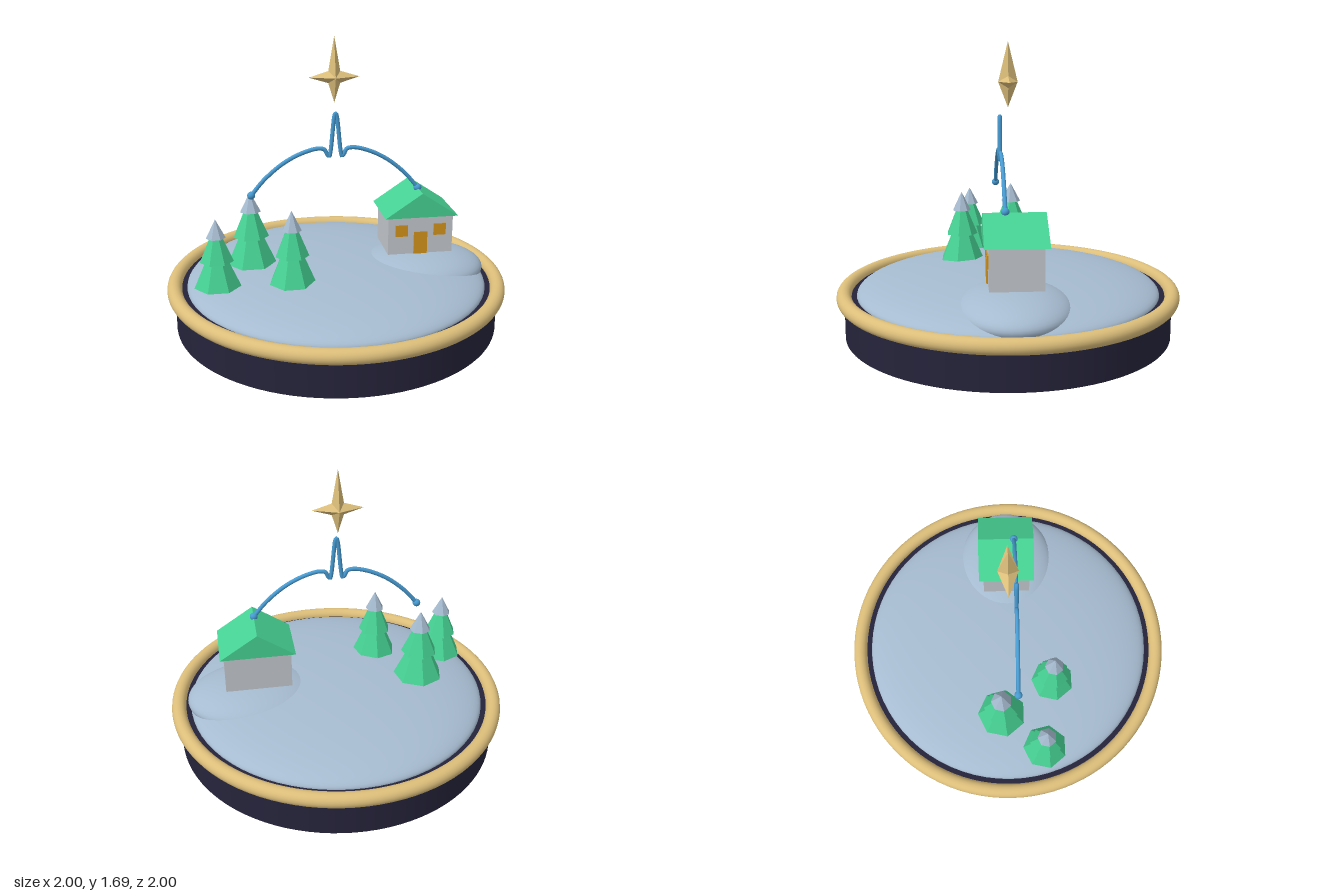
import * as THREE from 'three';

const mat = (name, color, side = THREE.FrontSide) =>
  new THREE.MeshStandardMaterial({ name, color, side });

// Gives every face its own normal
function flat(geometry) {
  const g = geometry.index ? geometry.toNonIndexed() : geometry;
  g.computeVertexNormals();
  return g;
}

export function createModel() {
  const navy = mat('navy', 0x25233a);
  const gold = mat('gold', 0xdcbe7a);
  const snow = mat('snow', 0xa6bbd0);
  const green = mat('green', 0x46d193);
  const wall = mat('wall', 0xc3c8ce);
  const amber = mat('amber', 0xd3931c);
  const blue = mat('blue', 0x479bd2);

  const model = new THREE.Group();
  model.name = 'winterScene';
  const add = (name, geometry, material, x = 0, y = 0, z = 0, parent = model) => {
    const mesh = new THREE.Mesh(geometry, material);
    mesh.name = name;
    mesh.position.set(x, y, z);
    parent.add(mesh);
    return mesh;
  };

  // Round base with a rolled rim
  add('base', new THREE.CylinderGeometry(0.955, 0.955, 0.24, 96), navy, 0, 0.12, 0);
  add('rim', new THREE.TorusGeometry(0.957, 0.043, 20, 96).rotateX(Math.PI / 2), gold, 0, 0.238, 0);

  // Snow ground and the mound under the house
  add('snowGround', new THREE.SphereGeometry(1, 72, 20, 0, Math.PI * 2, 0, Math.PI / 2)
    .scale(0.885, 0.13, 0.885), snow, 0, 0.24, 0);
  add('snowMound', new THREE.SphereGeometry(1, 48, 28).scale(0.4, 0.12, 0.32), snow, 0.5, 0.28, 0);

  // House
  const house = new THREE.Group();
  house.name = 'house';
  house.position.set(0.478, 0.42, -0.002);
  model.add(house);
  add('walls', new THREE.BoxGeometry(0.386, 0.23, 0.288), wall, 0, 0.115, 0, house);
  const gable = new THREE.Shape([
    new THREE.Vector2(-0.217, 0), new THREE.Vector2(0.217, 0), new THREE.Vector2(0, 0.145),
  ]);
  add('roof', new THREE.ExtrudeGeometry(gable, { depth: 0.34, bevelEnabled: false }),
    green, 0, 0.23, -0.17, house);
  add('door', new THREE.BoxGeometry(0.08, 0.136, 0.009), amber, 0, 0.068, 0.147, house);
  for (const s of [-1, 1]) {
    add('window', new THREE.BoxGeometry(0.073, 0.07, 0.009), amber, s * 0.114, 0.146, 0.147, house);
  }

  // Seven-sided trees: two green tiers and a snowy tip
  const tiers = [ // bottom, height, radius (fractions of the tree), material
    [0, 0.74, 1, green],
    [0.38, 0.56, 0.72, green],
    [0.73, 0.27, 0.42, snow],
  ];
  const trees = [ // x, z, ground y, height, radius
    [-0.5, -0.05, 0.355, 0.432, 0.148],
    [-0.708, 0.21, 0.332, 0.392, 0.134],
    [-0.292, 0.268, 0.35, 0.42, 0.134],
  ];
  for (const [x, z, y, height, radius] of trees) {
    const tree = new THREE.Group();
    tree.name = 'tree';
    tree.position.set(x, y, z);
    tree.rotation.y = Math.PI;
    model.add(tree);
    for (const [bottom, h, r, material] of tiers) {
      add(material === snow ? 'snowyTip' : 'treeTier',
        flat(new THREE.ConeGeometry(r * radius, h * height, 7)), material,
        0, (bottom + h / 2) * height, 0, tree);
    }
  }

  // Arched line with a sharp pulse in the middle, mirrored about its centre
  const cx = -0.01, wireZ = 0.047;
  const half = [
    [-0.487, 0.797], [-0.41, 0.888], [-0.3, 0.979], [-0.19, 1.035], [-0.1, 1.057],
    [-0.065, 1.05], [-0.048, 1.02], [-0.037, 1.008], [-0.029, 1.04], [-0.006, 1.245],
  ];
  const points = [...half, [0, 1.258], ...half.map(([x, y]) => [-x, y]).reverse()]
    .map(([x, y]) => new THREE.Vector3(cx + x, y, wireZ));
  add('archWire', new THREE.TubeGeometry(new THREE.CatmullRomCurve3(points), 240, 0.012, 10), blue);
  for (const s of [-1, 1]) {
    add('wireEnd', new THREE.SphereGeometry(0.023, 20, 14), blue, cx + s * 0.487, 0.797, wireZ);
  }

  // Four-pointed faceted star
  const d = 0.034, depth = 0.056;
  const outline = [
    [0, 0.23], [-d, d], [-0.145, 0], [-d, -d], [0, -0.145], [d, -d], [0.145, 0], [d, d],
  ];
  const corners = [];
  outline.forEach((a, i) => {
    const b = outline[(i + 1) % outline.length];
    corners.push(0, 0, depth, ...a, 0, ...b, 0);
    corners.push(0, 0, -depth, ...b, 0, ...a, 0);
  });
  const star = new THREE.BufferGeometry();
  star.setAttribute('position', new THREE.Float32BufferAttribute(corners, 3));
  add('star', flat(star), gold, cx, 1.455, 0);

  return model;
}
